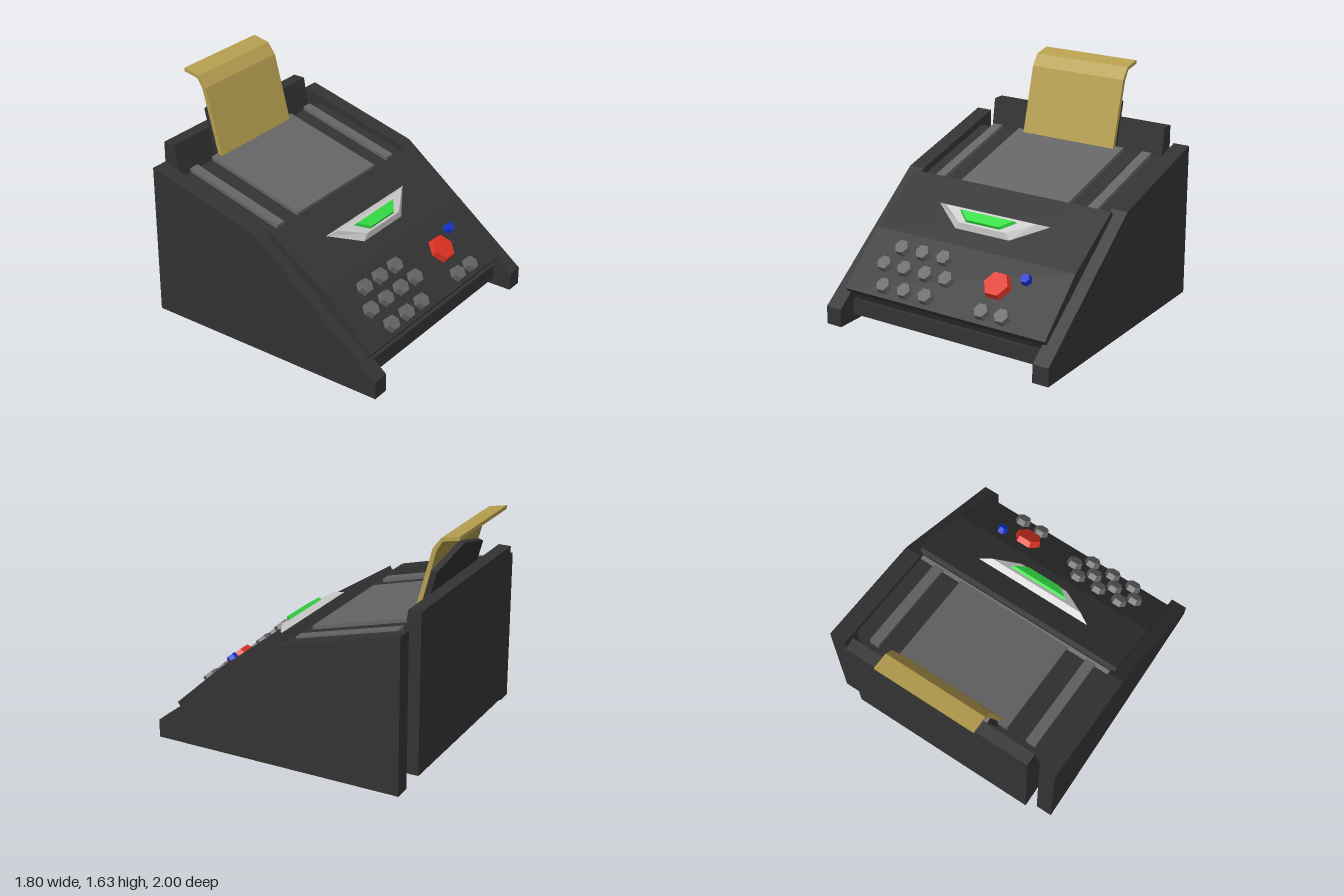
import * as THREE from 'three';

const mat = (color) => new THREE.MeshStandardMaterial({ color, flatShading: true });
const DARK = mat(0x333333);
const GREY = mat(0x666666);
const SILVER = mat(0xcccccc);
const GREEN = mat(0x33dd44);
const RED = mat(0xdd3322);
const BLUE = mat(0x1133cc);
const PAPER = mat(0xb8a050);

export function createModel() {
  const model = new THREE.Group();

  const add = (name, geometry, material, parent = model) => {
    const mesh = new THREE.Mesh(geometry, material);
    mesh.name = name;
    parent.add(mesh);
    return mesh;
  };

  const shapeOf = (points) => new THREE.Shape(points.map(([a, b]) => new THREE.Vector2(a, b)));

  // Side profile given as [z, y], extruded along x around centre cx
  const slab = (name, profile, width, cx, material) => {
    const geo = new THREE.ExtrudeGeometry(shapeOf(profile), { depth: width, bevelEnabled: false });
    geo.rotateY(-Math.PI / 2).translate(cx + width / 2, 0, 0);
    return add(name, geo, material);
  };

  // Solid between a base outline (z = 0) and a top outline (z = height), both counter-clockwise
  const frustum = (base, top, height) => {
    const pos = [];
    const n = base.length;
    const b = base.map(([x, y]) => [x, y, 0]);
    const t = top.map(([x, y]) => [x, y, height]);
    for (let i = 0; i < n; i++) {
      const j = (i + 1) % n;
      pos.push(...b[i], ...b[j], ...t[j], ...b[i], ...t[j], ...t[i]);
      if (i > 0 && i < n - 1) pos.push(...t[0], ...t[i], ...t[j], ...b[0], ...b[j], ...b[i]);
    }
    const geo = new THREE.BufferGeometry();
    geo.setAttribute('position', new THREE.Float32BufferAttribute(pos, 3));
    geo.computeVertexNormals();
    return geo;
  };

  // Side walls
  for (const s of [-1, 1]) {
    slab(s > 0 ? 'leftWall' : 'rightWall',
      [[1, 0], [1, 0.13], [0.02, 0.88], [-0.85, 1.11], [-0.85, 0]], 0.12, s * 0.84, DARK);
  }

  // Body between the walls, with front lip and sloping deck
  slab('body', [
    [0.86, 0.05], [0.86, 0.16], [0.83, 0.16], [0.86, 0.225], [0.05, 0.84],
    [0.02, 0.83], [-0.72, 1.025], [-0.72, 0.05],
  ], 1.56, 0, DARK);

  // Bent control panel
  slab('controlPanel',
    [[0.9, 0.25], [0.53, 0.59], [0.08, 0.88], [0.055, 0.845], [0.875, 0.215]], 1.62, 0, DARK);

  // Raised strips on the deck
  const strip = [[0.03, 0.855], [-0.725, 1.052], [-0.725, 0.99], [0.03, 0.79]];
  slab('deckCover', strip, 0.89, 0, GREY);
  for (const s of [-1, 1]) slab('deckRail', strip, 0.075, s * 0.632, GREY);

  // Rear housing with a leaning front face
  slab('rearHousing',
    [[-0.73, 0.08], [-0.73, 0.68], [-0.815, 1.22], [-0.905, 1.22], [-0.905, 0.08]], 1.44, 0, DARK);

  // Curled paper sheet
  slab('paper', [
    [-0.68, 1.02], [-0.813, 1.52], [-0.873, 1.6], [-1, 1.626],
    [-1, 1.6], [-0.885, 1.578], [-0.842, 1.51], [-0.712, 1.02],
  ], 0.76, 0, PAPER);

  // Gabled paper rest leaning behind the sheet
  const rest = add('paperRest', new THREE.ExtrudeGeometry(
    shapeOf([[-0.37, 0], [0.37, 0], [0.37, 0.4], [0, 0.5], [-0.37, 0.4]]),
    { depth: 0.04, bevelEnabled: false }), DARK);
  rest.position.set(0, 0.97, -0.74);
  rest.rotation.x = -0.26;

  // Hexagonal buttons on the lower panel facet
  const lowerTilt = -Math.atan2(0.37, 0.34);
  const hex = (r) => Array.from({ length: 6 }, (_, i) =>
    [r * Math.cos(i * Math.PI / 3), r * Math.sin(i * Math.PI / 3)]);
  const button = (name, x, z, r, material) => {
    const mesh = add(name, frustum(hex(r), hex(r * 0.88), 0.055), material);
    mesh.position.set(x, 0.25 + (0.9 - z) * 0.919 - 0.007, z - 0.007);
    mesh.rotation.x = lowerTilt;
  };
  const rows = [
    [0.62, [-0.51, -0.335, -0.16]],
    [0.725, [-0.585, -0.413, -0.24, -0.07]],
    [0.84, [-0.51, -0.335, -0.16, 0.295, 0.455]],
  ];
  for (const [z, xs] of rows) for (const x of xs) button('keyButton', x, z, 0.06, GREY);
  button('redButton', 0.315, 0.69, 0.105, RED);
  button('blueButton', 0.5, 0.625, 0.04, BLUE);

  // Trapezoid display on the upper panel facet
  const trapezoid = (low, high, v0, v1) => [[-low, v0], [low, v0], [high, v1], [-high, v1]];
  const display = new THREE.Group();
  display.name = 'display';
  display.position.set(0, 0.709, 0.345);
  display.rotation.x = -Math.atan2(0.45, 0.29);
  model.add(display);
  add('displayBezel',
    frustum(trapezoid(0.22, 0.455, -0.089, 0.089), trapezoid(0.19, 0.37, -0.063, 0.06), 0.042), SILVER, display);
  const screen = add('displayScreen',
    frustum(trapezoid(0.145, 0.245, -0.05, 0.038), trapezoid(0.13, 0.215, -0.045, 0.03), 0.038), GREEN, display);
  screen.position.z = 0.026;

  return model;
}
